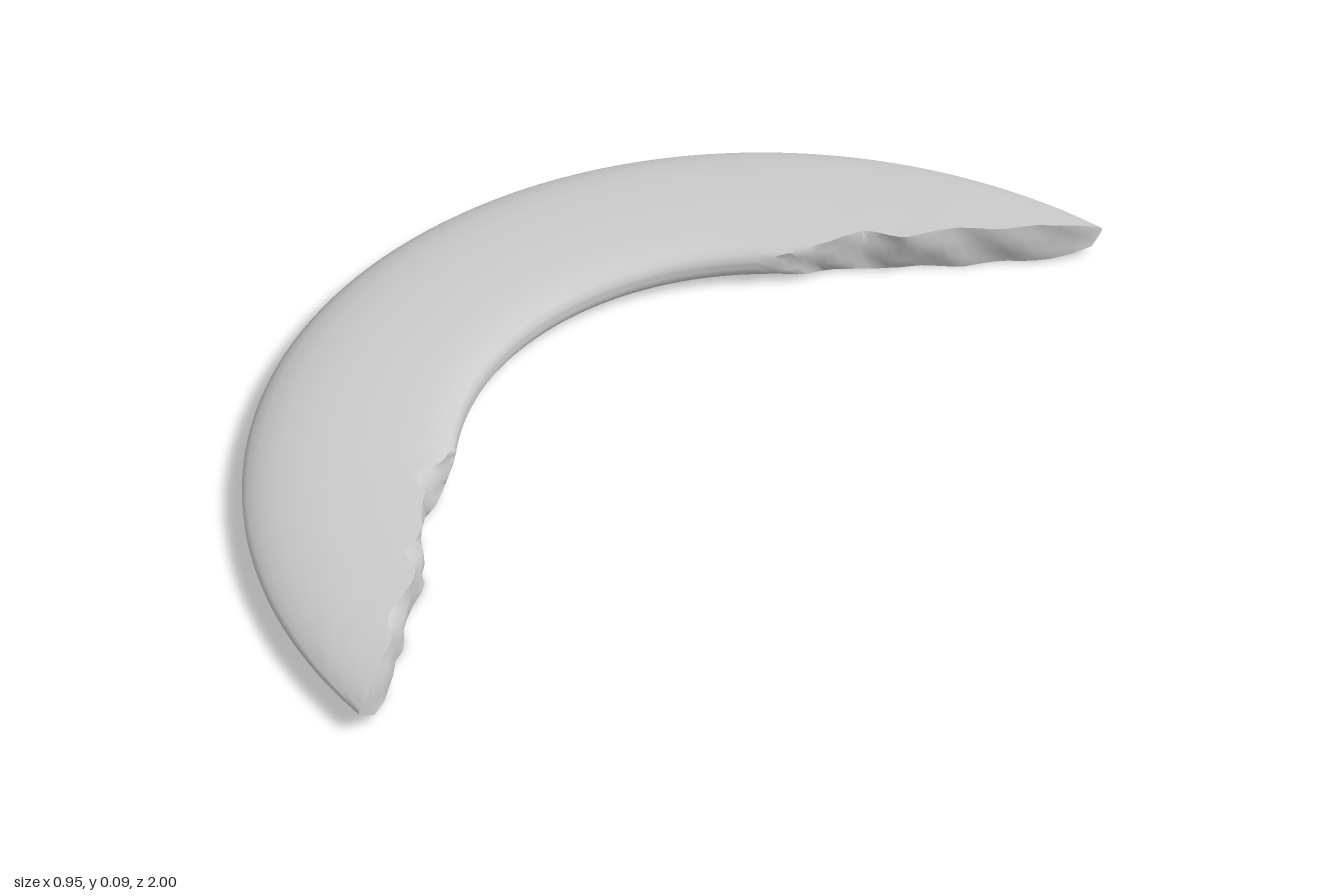
import * as THREE from 'three';
import { toCreasedNormals } from 'three/addons/utils/BufferGeometryUtils.js';

const CENTRE_X = 0.526;   // centre of the ring the fragment belongs to
const MID_Y = 0.045;
const END = 87;           // degrees swept each way from the middle
const STEPS = 116;

// piecewise-linear lookup in a list of [x, y]
function lookup(table, x) {
  if (x <= table[0][0]) return table[0][1];
  for (let i = 1; i < table.length; i++) {
    const [x0, y0] = table[i - 1], [x1, y1] = table[i];
    if (x <= x1) return y0 + (y1 - y0) * (x - x0) / (x1 - x0);
  }
  return table[table.length - 1][1];
}

// radius -> half thickness of the whole ring
const thickness = [[0.61, 0.012], [0.618, 0.025], [0.635, 0.035], [0.67, 0.042], [0.73, 0.045],
  [0.82, 0.045], [0.88, 0.0425], [0.93, 0.036], [0.97, 0.024], [0.99, 0.012], [1, 0.003]];

// angle -> inner radius, intact in the middle and broken away towards the tips
const breakFront = [[43, 0.61], [50, 0.634], [56, 0.665], [61, 0.688], [67.7, 0.702],
  [74, 0.757], [79, 0.815], [84.5, 0.9], [87, 0.967]];
const breakBack = [[43, 0.61], [49, 0.622], [55, 0.652], [60.8, 0.69], [67, 0.702],
  [72, 0.75], [80, 0.83], [84.5, 0.905], [87, 0.967]];

// chips along the broken edge: [angle, half width, depth]
const chipsFrontTop = [[53, 4, 0.03], [69, 4, 0.035], [79, 3.5, 0.035], [84, 2, 0.02]];
const chipsFrontBottom = [[57, 4, 0.025], [65, 4, 0.03], [75, 4, 0.03], [82, 3, 0.025]];
const chipsBackTop = [[60, 5, 0.012], [73, 5, 0.015], [82, 3, 0.012]];
const chipsBackBottom = [[55, 5, 0.015], [68, 6, 0.025], [79, 4, 0.02]];

const chip = (list, a) => list.reduce(
  (sum, [at, w, d]) => sum + d * Math.max(0, 1 - Math.abs(a - at) / w), 0);

// closed cross-section [radius, height]: top inwards, broken wall, bottom outwards
function section(deg) {
  const a = Math.abs(deg), front = deg > 0;
  const inner = lookup(front ? breakFront : breakBack, a);
  const top = inner + chip(front ? chipsFrontTop : chipsBackTop, a);
  const bottom = inner + chip(front ? chipsFrontBottom : chipsBackBottom, a);
  const pts = [];
  const side = (edge, sign) => thickness.map(([r]) => {
    const s = (r - 0.61) / 0.39;
    const radius = edge + (1 - edge) * s;
    return [radius, sign * lookup(thickness, radius)];
  });
  const upper = side(top, 1).reverse(), lower = side(bottom, -1);
  pts.push(...upper);
  const hTop = upper[upper.length - 1][1], hBottom = lower[0][1];
  const wave = inner > 0.611 ? 0.006 * Math.sin(a * 0.7) : 0;
  pts.push([inner + (top - inner) * 0.3 + wave, hTop * 0.4]);
  pts.push([inner + (bottom - inner) * 0.3 - wave, hBottom * 0.4]);
  pts.push(...lower);
  return pts;
}

function fragmentGeometry() {
  const positions = [], index = [];
  let n = 0;
  for (let i = 0; i <= STEPS; i++) {
    const deg = -END + 2 * END * i / STEPS, a = THREE.MathUtils.degToRad(deg);
    const ring = section(deg);
    n = ring.length;
    for (const [r, h] of ring) {
      positions.push(CENTRE_X - r * Math.cos(a), MID_Y + h, r * Math.sin(a));
    }
  }
  for (let i = 0; i < STEPS; i++) {
    for (let k = 0; k < n; k++) {
      const p = i * n + k, q = i * n + (k + 1) % n;
      index.push(p, p + n, q, q, p + n, q + n);
    }
  }
  // close both tips
  const last = STEPS * n;
  for (let k = 1; k < n - 1; k++) {
    index.push(0, k, k + 1, last, last + k + 1, last + k);
  }
  const geometry = new THREE.BufferGeometry();
  geometry.setAttribute('position', new THREE.Float32BufferAttribute(positions, 3));
  geometry.setIndex(index);
  return toCreasedNormals(geometry, THREE.MathUtils.degToRad(62));
}

export function createModel() {
  const group = new THREE.Group();
  group.name = 'brokenRing';
  const mesh = new THREE.Mesh(fragmentGeometry(), new THREE.MeshStandardMaterial({ color: 0xcccccc }));
  mesh.name = 'ringFragment';
  group.add(mesh);
  return group;
}
